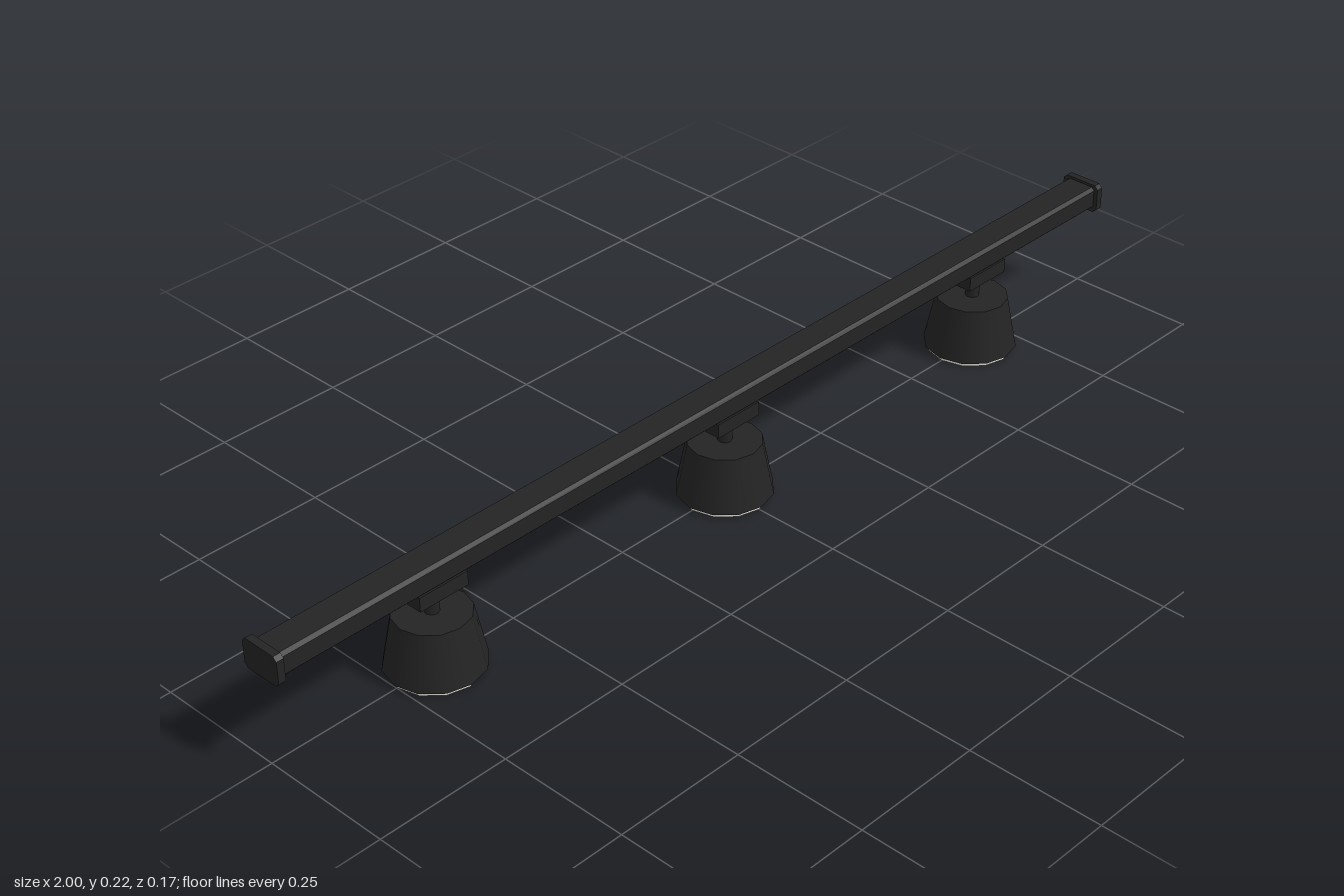
import * as THREE from 'three';

// Bar along x with a chamfered rectangular cross-section
function chamferedBar(length, halfDepth, y0, y1, c) {
  const s = new THREE.Shape();
  s.moveTo(-halfDepth + c, y0);
  s.lineTo(halfDepth - c, y0);
  s.lineTo(halfDepth, y0 + c);
  s.lineTo(halfDepth, y1 - c);
  s.lineTo(halfDepth - c, y1);
  s.lineTo(-halfDepth + c, y1);
  s.lineTo(-halfDepth, y1 - c);
  s.lineTo(-halfDepth, y0 + c);
  s.closePath();
  const g = new THREE.ExtrudeGeometry(s, { depth: length, bevelEnabled: false });
  return g.translate(0, 0, -length / 2).rotateY(Math.PI / 2);
}

export function createModel() {
  const black = new THREE.MeshStandardMaterial({ color: 0x242424 });
  black.name = 'matte black';
  const white = new THREE.MeshStandardMaterial({ color: 0xe6e2d8 });
  white.name = 'warm white lens';

  const model = new THREE.Group();
  model.name = 'trackLight';
  const add = (parent, name, geometry, material, x = 0, y = 0) => {
    const mesh = new THREE.Mesh(geometry, material);
    mesh.name = name;
    mesh.position.set(x, y, 0);
    parent.add(mesh);
  };

  // Ceiling rail and its end caps
  add(model, 'rail', chamferedBar(1.976, 0.032, 0.172, 0.217, 0.006), black);
  for (const side of [-1, 1]) {
    add(model, side > 0 ? 'leftEndCap' : 'rightEndCap',
      chamferedBar(0.014, 0.04, 0.166, 0.222, 0.007), black, side * 0.993);
  }

  // Three identical hanging spots
  for (const x of [-0.668, 0, 0.668]) {
    const spot = new THREE.Group();
    spot.name = 'spot';
    spot.position.x = x;
    add(spot, 'adapter', new THREE.BoxGeometry(0.1, 0.027, 0.066), black, 0, 0.1615);
    add(spot, 'stem', new THREE.CylinderGeometry(0.013, 0.013, 0.05, 8), black, 0, 0.128);
    add(spot, 'shade', new THREE.CylinderGeometry(0.067, 0.087, 0.1, 12), black, 0, 0.058);
    add(spot, 'lens', new THREE.CylinderGeometry(0.081, 0.081, 0.012, 12), white, 0, 0.006);
    model.add(spot);
  }
  return model;
}
